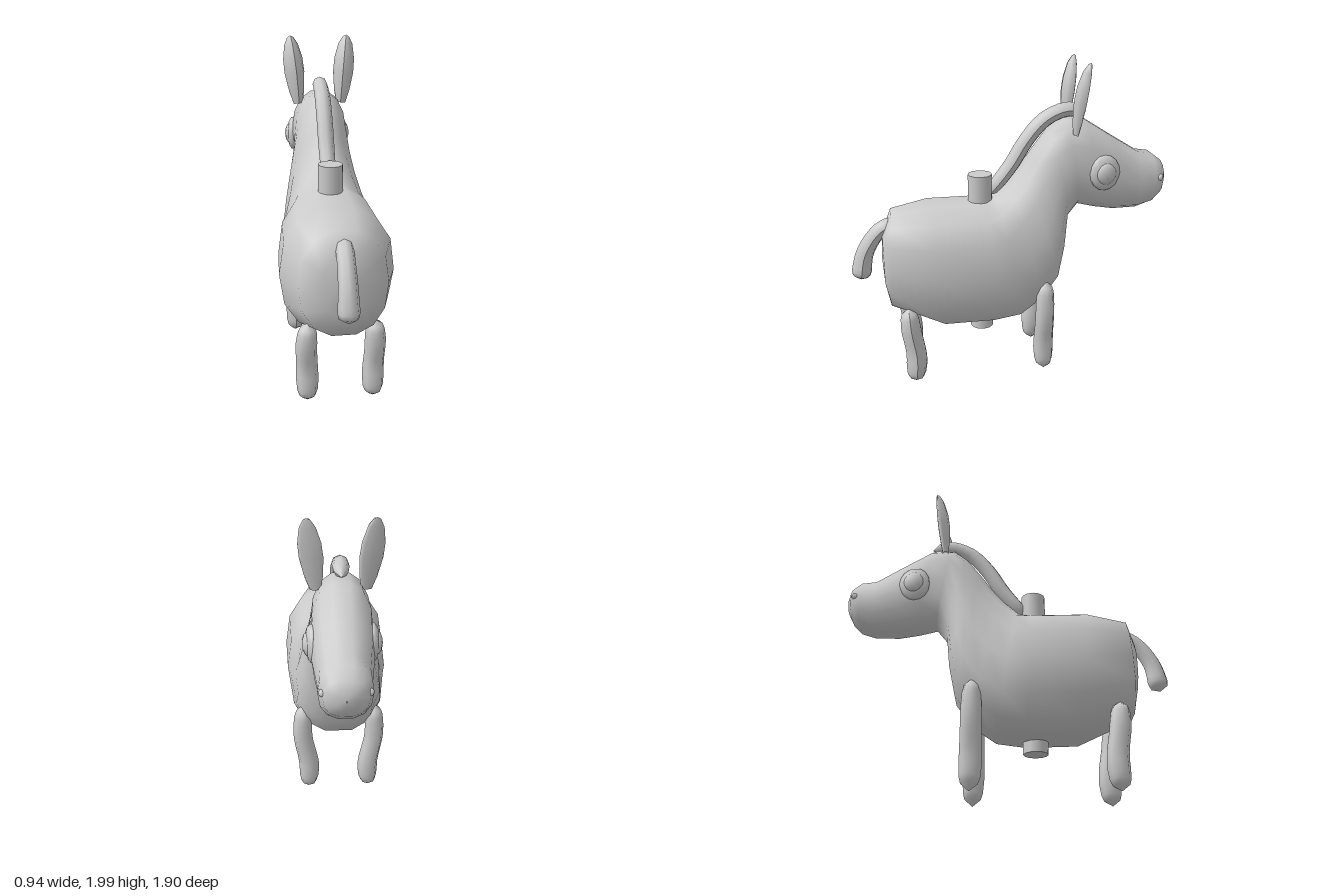
import * as THREE from 'three';

const material = new THREE.MeshStandardMaterial({ color: 0xcccccc });
const V = (x, y, z) => new THREE.Vector3(x, y, z);

function part(name, geometry, parent) {
  const mesh = new THREE.Mesh(geometry, material);
  mesh.name = name;
  parent.add(mesh);
  return mesh;
}

// Skin over rings given as [topZ, topY, bottomZ, bottomY, halfWidth, narrowing towards the top]
function skin(rings, sides = 14) {
  const pos = [], index = [];
  const bulge = (v) => Math.sign(v) * Math.abs(v) ** 0.85;
  rings.forEach(([tz, ty, bz, by, w, taper], i) => {
    for (let j = 0; j < sides; j++) {
      const a = (j / sides) * Math.PI * 2;
      const s = bulge(Math.sin(a)), k = (s + 1) / 2;
      pos.push(w * bulge(Math.cos(a)) * (1 - taper * s), by + (ty - by) * k, bz + (tz - bz) * k);
      if (i === rings.length - 1) continue;
      const p = i * sides + j, q = i * sides + ((j + 1) % sides);
      index.push(p, p + sides, q, q, p + sides, q + sides);
    }
  });
  const g = new THREE.BufferGeometry();
  g.setAttribute('position', new THREE.Float32BufferAttribute(pos, 3));
  g.setIndex(index);
  g.computeVertexNormals();
  return g;
}

// Tube along points whose radius follows a list; short tapers close both ends
function limb(points, radii, sides = 8, steps = 16) {
  const curve = new THREE.CatmullRomCurve3(points);
  const g = new THREE.TubeGeometry(curve, steps, 1, sides);
  const p = g.attributes.position, v = V(0, 0, 0);
  for (let i = 0; i < p.count; i++) {
    const step = Math.floor(i / (sides + 1));
    const t = step / steps;
    const f = t * (radii.length - 1), n = Math.min(Math.floor(f), radii.length - 2);
    let r = THREE.MathUtils.lerp(radii[n], radii[n + 1], f - n);
    if (step === 0 || step === steps) r = 0.001;
    else if (step === 1 || step === steps - 1) r *= 0.85;
    const c = curve.getPointAt(t);
    v.fromBufferAttribute(p, i).sub(c).multiplyScalar(r).add(c);
    p.setXYZ(i, v.x, v.y, v.z);
  }
  g.computeVertexNormals();
  return g;
}

// Leaf-shaped ear with a hollowed front
function earGeometry() {
  const profile = [[0.03, 0], [0.05, 0.08], [0.066, 0.2], [0.064, 0.29], [0.045, 0.38], [0.02, 0.425], [0.001, 0.435]];
  const g = new THREE.LatheGeometry(profile.map(([r, y]) => new THREE.Vector2(r, y)), 8);
  const p = g.attributes.position;
  for (let i = 0; i < p.count; i++) {
    const z = p.getZ(i);
    p.setZ(i, z < 0 ? z * 0.25 : z * 0.9);
  }
  g.computeVertexNormals();
  return g;
}

export function createModel() {
  const model = new THREE.Group();
  model.name = 'donkey';

  // Body, neck and head in one skin, from rump to muzzle
  part('bodyNeckAndHead', skin([
    [0.8, 0.82, 0.8, 0.8, 0.005, 0],
    [0.79, 0.97, 0.79, 0.63, 0.13, 0],
    [0.73, 1.11, 0.76, 0.49, 0.25, 0],
    [0.5, 1.155, 0.43, 0.34, 0.337, 0],
    [0.15, 1.155, 0.12, 0.33, 0.322, 0],
    [0.08, 1.17, -0.06, 0.355, 0.3, 0.08],
    [-0.01, 1.26, -0.2, 0.45, 0.27, 0.16],
    [-0.09, 1.36, -0.31, 0.6, 0.245, 0.25],
    [-0.15, 1.45, -0.35, 0.8, 0.215, 0.25],
    [-0.25, 1.58, -0.37, 1.01, 0.18, 0.12],
    [-0.34, 1.65, -0.44, 1.095, 0.17, 0.03],
    [-0.47, 1.645, -0.56, 1.065, 0.175, 0],
    [-0.66, 1.525, -0.68, 1.045, 0.17, 0],
    [-0.83, 1.42, -0.83, 1.045, 0.145, 0],
    [-0.92, 1.405, -0.92, 1.075, 0.145, 0],
    [-0.985, 1.355, -0.975, 1.13, 0.12, 0],
    [-1.01, 1.3, -1.005, 1.19, 0.06, 0],
    [-1.012, 1.25, -1.012, 1.24, 0.003, 0],
  ]), model);

  part('mane', limb([
    V(0, 1.17, 0.13), V(0, 1.36, -0.02), V(0, 1.52, -0.12),
    V(0, 1.64, -0.23), V(0, 1.695, -0.36), V(0, 1.68, -0.49),
  ], [0.045, 0.05, 0.05, 0.045]), model);

  part('tail', limb([
    V(0, 1.04, 0.69), V(0, 0.99, 0.8), V(0, 0.85, 0.9), V(0, 0.665, 0.94),
  ], [0.05, 0.05, 0.055, 0.066]), model);

  // Upright rod through the body
  const rod = part('rod', new THREE.CylinderGeometry(0.075, 0.075, 1.045, 12), model);
  rod.position.set(0, 0.7925, 0.174);

  // Paired parts
  for (const [side, s] of [['left', 1], ['right', -1]]) {
    part(side + 'FrontLeg', limb([
      V(s * 0.2, 0.01, -0.205), V(s * 0.195, 0.2, -0.2), V(s * 0.23, 0.42, -0.2), V(s * 0.225, 0.66, -0.2),
    ], [0.055, 0.066, 0.062, 0.06, 0.05]), model);

    part(side + 'HindLeg', limb([
      V(s * 0.195, 0.01, 0.635), V(s * 0.195, 0.2, 0.625), V(s * 0.2, 0.38, 0.65), V(s * 0.19, 0.53, 0.66),
    ], [0.055, 0.066, 0.062, 0.062, 0.05]), model);

    const ear = part(side + 'Ear', earGeometry(), model);
    ear.position.set(s * 0.14, 1.57, -0.4);
    ear.rotation.set(-0.15, -s * 0.15, -s * 0.1);

    // Eye: a flat disc-like ball with a smaller raised pupil
    const eye = new THREE.Group();
    eye.name = side + 'Eye';
    eye.position.set(s * 0.165, 1.33, -0.575);
    eye.rotation.y = s * 0.1;
    model.add(eye);
    part('eyeball', new THREE.SphereGeometry(1, 10, 8), eye).scale.set(0.04, 0.112, 0.1);
    const pupil = part('pupil', new THREE.SphereGeometry(1, 10, 8), eye);
    pupil.scale.set(0.035, 0.07, 0.065);
    pupil.position.x = s * 0.02;

    const nostril = part('nostril', new THREE.SphereGeometry(0.022, 8, 6), model);
    nostril.name = side + 'Nostril';
    nostril.position.set(s * 0.12, 1.265, -0.955);
  }

  // The animal stands turned slightly
  model.rotation.y = 0.34;
  model.position.set(-0.015, 0, 0.005);
  const root = new THREE.Group();
  root.name = 'model';
  root.add(model);
  return root;
}
